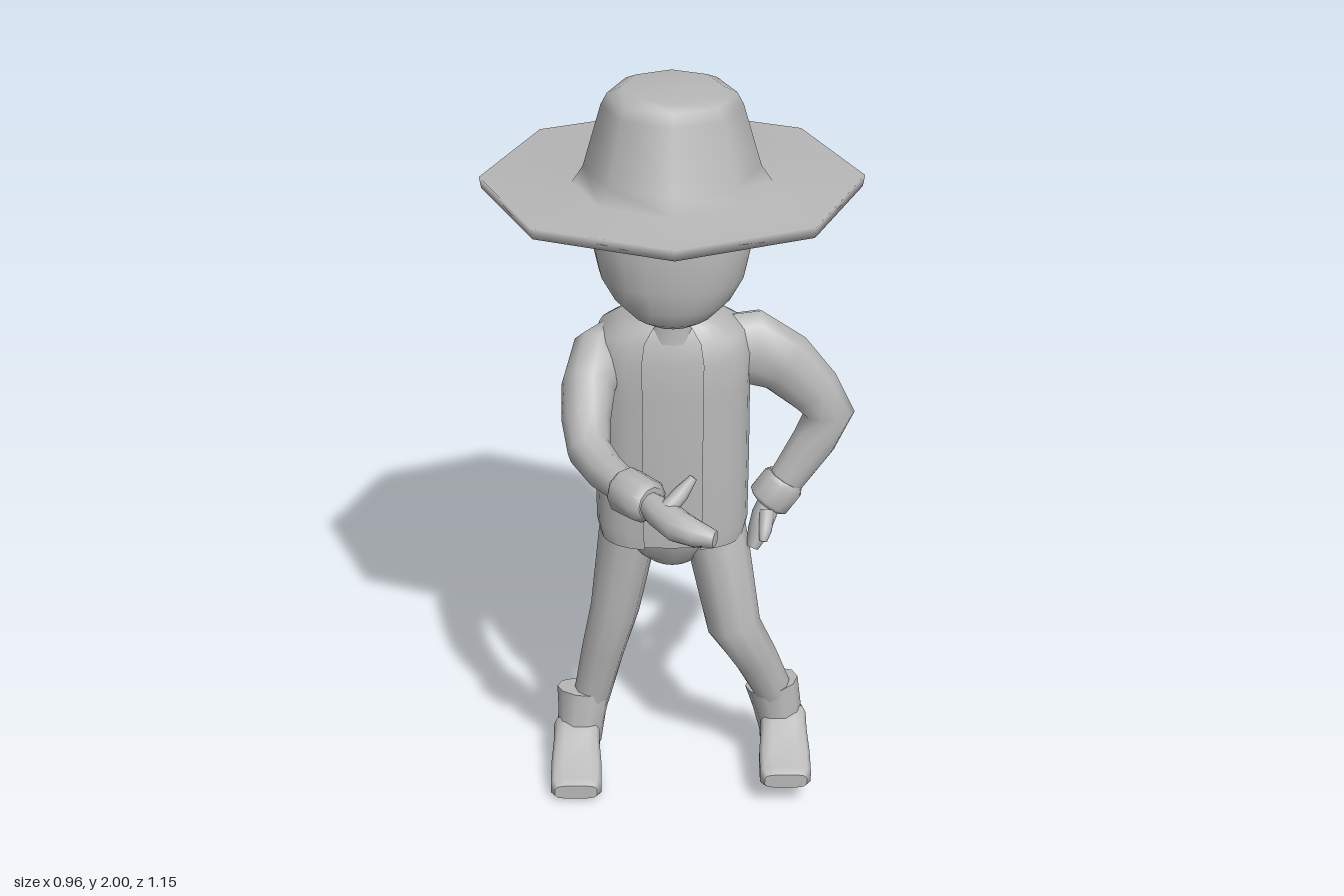
import * as THREE from 'three';

const V = (x, y, z) => new THREE.Vector3(x, y, z);
const grey = new THREE.MeshStandardMaterial({ color: 0xb8b8b8, side: THREE.DoubleSide });
grey.name = 'plainGrey';

// Skin a list of equal-length rings, optionally closed round and capped
function loft(name, rings, { closed = true, caps = true } = {}) {
  const n = rings[0].length, pos = [], idx = [];
  rings.forEach(r => r.forEach(p => pos.push(p.x, p.y, p.z)));
  for (let i = 0; i < rings.length - 1; i++)
    for (let j = 0; j < (closed ? n : n - 1); j++) {
      const k = (j + 1) % n, a = i * n + j, b = i * n + k;
      idx.push(a, b, b + n, a, b + n, a + n);
    }
  if (caps) [rings[0], rings[rings.length - 1]].forEach((r, end) => {
    const base = pos.length / 3, c = V(0, 0, 0);
    r.forEach(p => { pos.push(p.x, p.y, p.z); c.addScaledVector(p, 1 / n); });
    pos.push(c.x, c.y, c.z);
    for (let j = 0; j < n; j++) {
      const k = (j + 1) % n;
      idx.push(base + n, base + (end ? j : k), base + (end ? k : j));
    }
  });
  const g = new THREE.BufferGeometry();
  g.setAttribute('position', new THREE.Float32BufferAttribute(pos, 3));
  g.setIndex(idx);
  g.computeVertexNormals();
  const m = new THREE.Mesh(g, grey);
  m.name = name;
  return m;
}

const pw = (v, p) => Math.sign(v) * Math.abs(v) ** p;

// Upright body ring: [y, half width, front z, back z]
function bodyRing([y, rx, zf, zb], { n = 16, p = 1, a0 = 0, grow = 0 } = {}) {
  const out = [], steps = a0 ? n : n - 1;
  for (let j = 0; j <= steps; j++) {
    const a = a0 + (j / n) * (Math.PI * 2 - 2 * a0);
    out.push(V(pw(Math.sin(a), p) * (rx + grow), y,
      (zf + zb) / 2 + pw(Math.cos(a), p) * ((zf - zb) / 2 + grow)));
  }
  return out;
}

// Limb through stations [x, y, z, radius, optional second radius]
function limb(name, st, ref = V(0, 0, 1), n = 10) {
  const c = st.map(s => V(s[0], s[1], s[2]));
  return loft(name, st.map((s, i) => {
    const t = c[Math.min(i + 1, c.length - 1)].clone().sub(c[Math.max(i - 1, 0)]).normalize();
    const u = ref.clone().cross(t).normalize(), v = t.clone().cross(u);
    return Array.from({ length: n }, (_, j) => {
      const a = j / n * Math.PI * 2;
      return c[i].clone().addScaledVector(u, Math.cos(a) * s[3])
        .addScaledVector(v, Math.sin(a) * (s[4] ?? s[3]));
    });
  }));
}

// Foot lofted along z from stations [z, bottom, top, half width]
function foot(name, x, y, z) {
  const st = [[-.15, .01, .08, .045], [-.135, 0, .12, .058], [-.085, 0, .14, .064], [-.075, .025, .145, .064],
    [-.02, .018, .125, .064], [.04, 0, .085, .07], [.11, 0, .062, .07], [.13, .008, .05, .058]];
  const m = loft(name, st.map(([sz, b, t, w]) => Array.from({ length: 12 }, (_, j) => {
    const a = (j + .5) / 12 * Math.PI * 2;
    return V(pw(Math.cos(a), .5) * w, (b + t) / 2 + pw(Math.sin(a), .5) * (t - b) / 2, sz);
  })));
  m.position.set(x, y, z);
  return m;
}

export function createModel() {
  const g = new THREE.Group();
  g.name = 'hattedFigure';

  // Eight-sided wide hat, tipped slightly back
  const hat = new THREE.Mesh(new THREE.LatheGeometry([
    [0, 1.715], [.23, 1.712], [.475, 1.733], [.48, 1.762], [.25, 1.748], [.222, 1.79],
    [.176, 1.95], [.16, 1.98], [.125, 1.996], [0, 1.998]
  ].map(([x, y]) => new THREE.Vector2(x, y - 1.75)), 8), grey);
  hat.name = 'hat';
  hat.position.set(0, 1.75, -.096);
  hat.rotation.x = -.024;
  g.add(hat);

  // Head and neck
  g.add(loft('head', [[1.415, .07, .06, -.12], [1.43, .105, .08, -.15], [1.47, .15, .1, -.19], [1.53, .185, .113, -.22],
    [1.62, .205, .117, -.24], [1.74, .205, .112, -.25]].map(r => bodyRing(r, { n: 20, p: .9 }))));
  g.add(loft('neck', [[1.34, .085, 0, -.17], [1.4, .075, -.005, -.16], [1.46, .08, 0, -.16]].map(r => bodyRing(r))));

  // Hair cap: short wavy fringe, long at the back
  const hairRing = (t, shrink) => Array.from({ length: 32 }, (_, j) => {
    const a = j / 32 * Math.PI * 2, c = Math.cos(a);
    const back = THREE.MathUtils.smoothstep(-c, -.15, .75);
    const side = THREE.MathUtils.smoothstep(Math.abs(Math.sin(a)), .8, 1) * .04;
    const low = 1.672 + .012 * Math.sin(j * 1.6) - side - back * (.21 - side);
    const y = THREE.MathUtils.lerp(1.745, low, t);
    const s = (1 - Math.max(0, 1.62 - y) * 1.5) * shrink;
    return V(Math.sin(a) * .232 * s, y, -.095 + c * .225 * s);
  });
  g.add(loft('hair', [hairRing(0, 1), hairRing(.35, 1), hairRing(.7, 1), hairRing(1, .98), hairRing(1, .7)], { caps: false }));

  // Shirt inside an open-fronted jacket
  const torso = [[.755, .178, .015, -.225], [.8, .188, .017, -.232], [1, .19, .017, -.245], [1.2, .19, .015, -.25],
    [1.29, .195, .008, -.245], [1.345, .175, -.005, -.225], [1.38, .12, -.02, -.2], [1.4, .075, -.03, -.16]];
  g.add(loft('shirt', torso.map(r => bodyRing(r, { n: 24, p: .75 }))));
  g.add(loft('jacket', torso.map(r => bodyRing(r, { n: 24, p: .75, a0: .28, grow: .012 })), { closed: false, caps: false }));
  g.add(loft('hips', [[.66, .06, -.06, -.17], [.69, .1, -.03, -.2], [.76, .175, .005, -.215], [.82, .18, .01, -.22]]
    .map(r => bodyRing(r))));

  // Trouser legs: the right one straight, the left one bent at the knee
  g.add(limb('rightLeg', [[-.105, .79, -.12, .085], [-.12, .71, -.13, .078, .085], [-.155, .5, -.11, .066],
    [-.19, .35, -.13, .058], [-.225, .18, -.145, .05]]));
  g.add(limb('leftLeg', [[.1, .79, -.1, .09], [.125, .7, -.08, .082, .085], [.165, .5, -.012, .072, .06],
    [.225, .38, -.045, .06], [.29, .22, -.085, .05]]));

  // Boots
  g.add(limb('rightBootShaft', [[-.243, .22, -.14, .075, .052], [-.25, .15, -.135, .066, .058], [-.26, .06, -.125, .062, .06]]));
  g.add(foot('rightBoot', -.265, 0, -.04));
  g.add(limb('leftBootShaft', [[.272, .275, -.082, .073, .058], [.288, .2, -.085, .066, .06], [.302, .12, -.085, .06, .06]]));
  g.add(foot('leftBoot', .305, .06, 0));

  // Left arm, hand on hip
  g.add(limb('leftSleeve', [[.12, 1.26, -.13, .1, .08], [.21, 1.27, -.135, .105, .08], [.29, 1.225, -.14, .088, .07],
    [.37, 1.14, -.145, .073, .06], [.412, 1.07, -.15, .068, .054], [.375, .99, -.145, .06, .05], [.29, .86, -.13, .047]]));
  g.add(limb('leftCuff', [[.302, .885, -.132, .05], [.293, .87, -.13, .062, .058], [.258, .825, -.122, .062, .058], [.25, .815, -.12, .045]]));
  g.add(limb('leftHand', [[.262, .83, -.12, .03], [.245, .79, -.105, .034, .045], [.23, .75, -.085, .03, .045],
    [.212, .71, -.065, .016, .03]]));
  g.add(limb('leftThumb', [[.25, .81, -.085, .022], [.245, .77, -.05, .018], [.24, .745, -.035, .01]], V(1, 0, 0), 8));

  // Right arm, reaching forward
  const up = V(0, 1, 0);
  g.add(limb('rightSleeve', [[-.13, 1.27, -.14, .075, .09], [-.19, 1.26, -.08, .075, .095], [-.215, 1.225, .0, .07, .08],
    [-.22, 1.165, .075, .062, .068], [-.212, 1.118, .145, .056, .055], [-.17, 1.11, .24, .05], [-.11, 1.115, .35, .042]], up));
  g.add(limb('rightCuff', [[-.128, 1.115, .335, .045], [-.118, 1.117, .348, .06], [-.068, 1.12, .41, .06, .055], [-.058, 1.12, .42, .042]], up));
  g.add(limb('rightHand', [[-.07, 1.118, .405, .03], [-.035, 1.115, .455, .042, .036], [.01, 1.108, .515, .042, .04],
    [.05, 1.103, .54, .034, .034], [.095, 1.1, .56, .018, .022]], up));
  g.add(limb('rightThumb', [[-.02, 1.13, .47, .022], [.015, 1.165, .45, .02], [.045, 1.2, .435, .01]], up, 8));

  return g;
}
